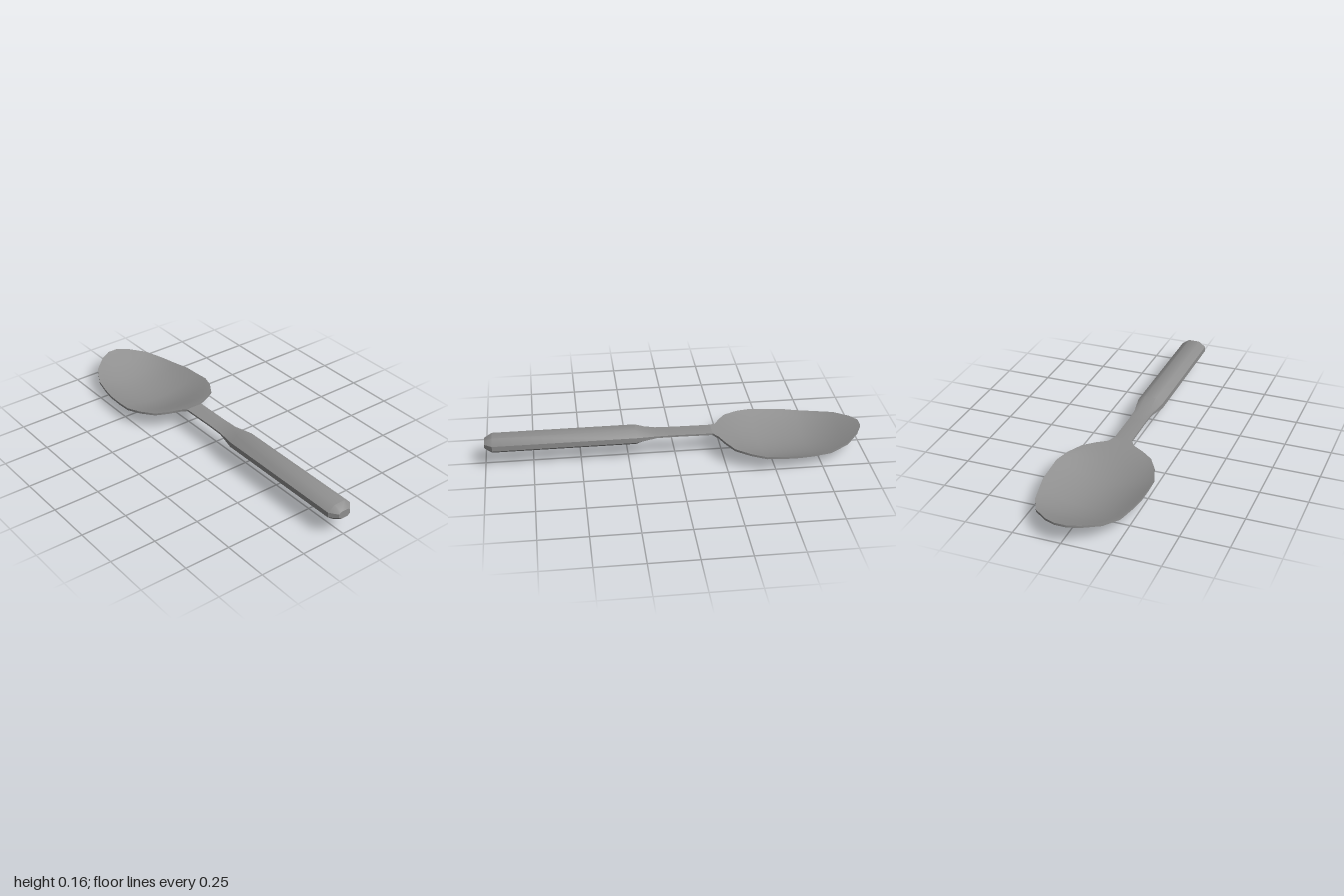
import * as THREE from 'three';
import { toCreasedNormals } from 'three/addons/utils/BufferGeometryUtils.js';

// Skins rings of [x, y, z] points (ordered y towards z, running along +x) and caps both ends
function loft(rings, crease) {
  const n = rings[0].length, last = (rings.length - 1) * n, index = [];
  for (let i = 0; i < rings.length - 1; i++) {
    for (let j = 0; j < n; j++) {
      const a = i * n + j, b = i * n + (j + 1) % n;
      index.push(a, b, b + n, a, b + n, a + n);
    }
  }
  for (let j = 1; j < n - 1; j++) {
    index.push(0, j + 1, j, last, last + j, last + j + 1);
  }
  const geometry = new THREE.BufferGeometry();
  geometry.setAttribute('position', new THREE.Float32BufferAttribute(rings.flat(2), 3));
  geometry.setIndex(index);
  return toCreasedNormals(geometry, crease);
}

// Thin dished section: lower edge follows a parabola from the centre up to the rim
function dishRing([x, halfWidth, centreY, rimY]) {
  const thickness = 0.012, steps = 12, ring = [];
  for (const side of [1, -1]) {
    for (let j = 0; j <= steps; j++) {
      const t = side * (-1 + 2 * j / steps);
      const y = centreY + (rimY - centreY) * t * t;
      ring.push([x, y + (side > 0 ? thickness : 0), halfWidth * t]);
    }
  }
  return ring;
}

// Octagonal section with separate flat widths and side heights
function octagonRing([x, centreY, halfHeight, halfWidth, flatZ, sideY]) {
  return [
    [halfHeight, -flatZ], [halfHeight, flatZ], [sideY, halfWidth], [-sideY, halfWidth],
    [-halfHeight, flatZ], [-halfHeight, -flatZ], [-sideY, -halfWidth], [sideY, -halfWidth],
  ].map(([y, z]) => [x, centreY + y, z]);
}

export function createModel() {
  const group = new THREE.Group();
  const material = new THREE.MeshStandardMaterial({ color: 0x8f8f8f });
  const add = (name, geometry) => {
    const mesh = new THREE.Mesh(geometry, material);
    mesh.name = name;
    group.add(mesh);
  };

  // Bowl: x, half width, centre underside, rim underside
  const bowl = [
    [-1, 0.03, 0.098, 0.098], [-0.97, 0.09, 0.085, 0.09], [-0.9, 0.17, 0.057, 0.075],
    [-0.8, 0.222, 0.019, 0.06], [-0.7, 0.245, 0.003, 0.06], [-0.62, 0.261, 0, 0.065],
    [-0.53, 0.264, 0.002, 0.067], [-0.45, 0.265, 0.016, 0.073], [-0.37, 0.237, 0.044, 0.081],
    [-0.295, 0.19, 0.075, 0.088], [-0.255, 0.13, 0.091, 0.095], [-0.225, 0.07, 0.101, 0.101],
    [-0.195, 0.048, 0.111, 0.111],
  ];
  add('bowl', loft(bowl.map(dishRing), 0.7));

  // Flat neck swelling into the handle: x, centre y, half height, half width, flat half width, side half height
  const handle = [
    [-0.195, 0.117, 0.006, 0.048, 0.03, 0.005], [0, 0.119, 0.007, 0.047, 0.03, 0.005],
    [0.1, 0.12, 0.007, 0.05, 0.03, 0.005], [0.21, 0.119, 0.042, 0.07, 0.031, 0.014],
    [0.96, 0.119, 0.042, 0.07, 0.031, 0.014], [1, 0.119, 0.021, 0.035, 0.02, 0.01],
  ];
  add('handle', loft(handle.map(octagonRing), 0.68));

  return group;
}
